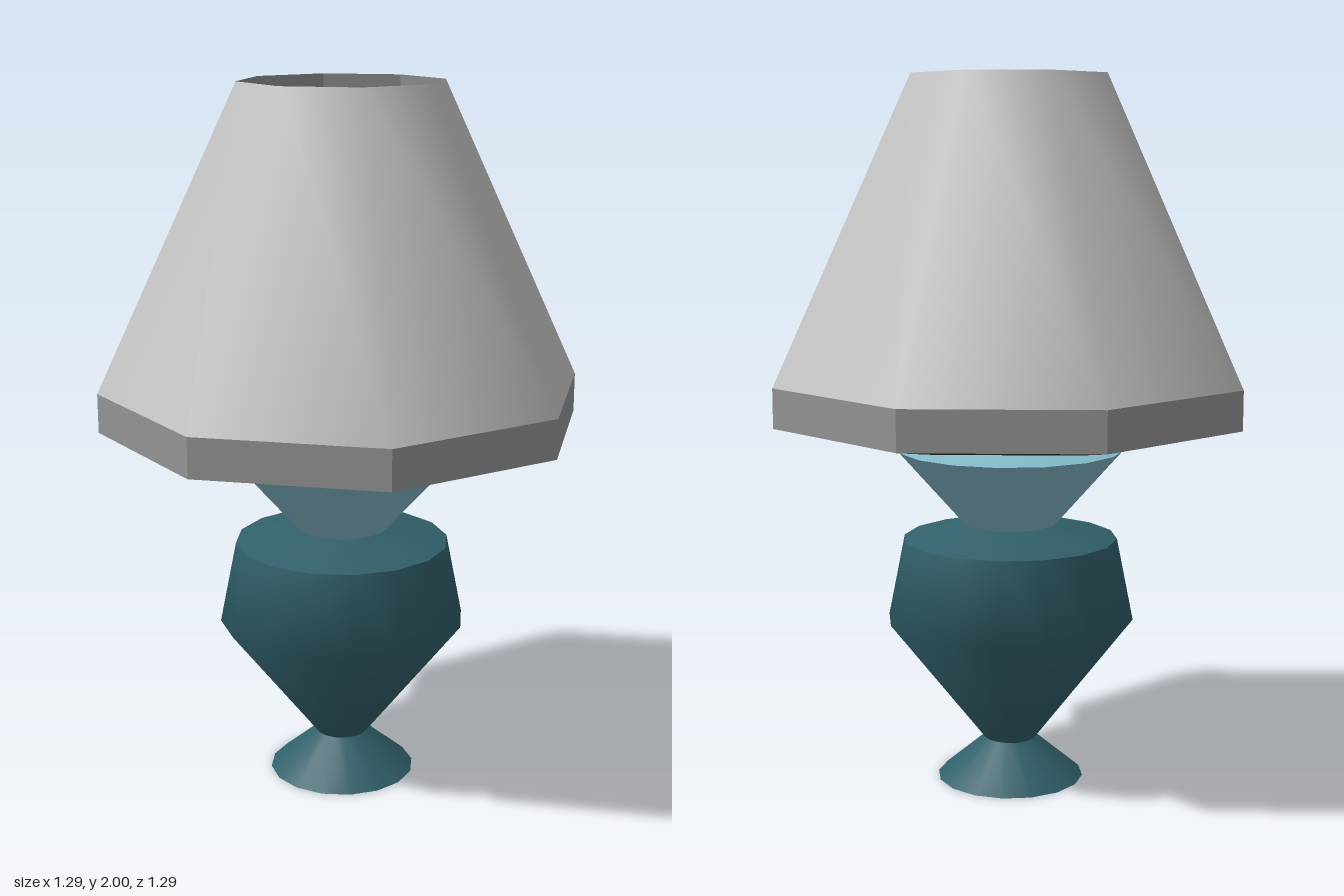
import * as THREE from 'three';

const paint = (name, color) => {
  const m = new THREE.MeshStandardMaterial({ color });
  m.name = name;
  return m;
};

export function createModel() {
  const model = new THREE.Group();
  model.name = 'tableLamp';

  const shadeGrey = paint('shadeGrey', 0xc2c2c2);
  const trimGrey = paint('trimGrey', 0x949494);
  const darkMetal = paint('darkMetal', 0x373434);
  const lightBlue = paint('lightBlue', 0x84bbca);
  const deepTeal = paint('deepTeal', 0x31606a);

  const TURN = THREE.MathUtils.degToRad(26.2); // twist of the octagonal shade

  // Turned part from [radius, height] points; faceted when flat is true
  const turned = (name, material, points, sides, start = 0, flat = false) => {
    const profile = points.map(([r, y]) => new THREE.Vector2(r, y));
    let geometry = new THREE.LatheGeometry(profile, sides, start, Math.PI * 2);
    if (flat) {
      geometry = geometry.toNonIndexed();
      geometry.computeVertexNormals();
    }
    const mesh = new THREE.Mesh(geometry, material);
    mesh.name = name;
    model.add(mesh);
    return mesh;
  };

  // Vase-shaped base
  turned('footUnderside', deepTeal, [[0, 0.04], [0.21, 0]], 16);
  turned('foot', deepTeal, [[0.21, 0], [0.075, 0.115]], 16);
  turned('vaseBody', deepTeal, [[0.075, 0.115], [0.352, 0.47], [0.305, 0.705]], 16);
  turned('vaseShoulder', deepTeal, [[0.305, 0.705], [0.13, 0.748]], 16);

  // Flared collar with a recessed socket
  turned('collarFlare', lightBlue, [[0.13, 0.745], [0.322, 0.963]], 16);
  turned('collarTop', lightBlue, [[0.322, 0.963], [0.12, 0.997]], 16);
  turned('socketWall', deepTeal, [[0.12, 0.997], [0.085, 0.9]], 16);
  turned('socketFloor', deepTeal, [[0.085, 0.9], [0, 0.9]], 16);

  // Square stem rising into the shade
  const stem = new THREE.Mesh(
    new THREE.CylinderGeometry(0.052, 0.052, 0.6, 4, 1, false, THREE.MathUtils.degToRad(66)),
    darkMetal
  );
  stem.name = 'stem';
  stem.position.set(-0.004, 1.2, -0.004);
  model.add(stem);

  // Octagonal shade: smooth outside, faceted rim band, lip and lining
  turned('shadeOuter', shadeGrey, [[0.681, 1.165], [0.286, 2]], 8, TURN);
  turned('shadeBand', trimGrey, [[0.681, 1.055], [0.681, 1.165]], 8, TURN, true);
  turned('shadeUnderside', darkMetal, [[0.486, 1.02], [0.681, 1.055]], 8, TURN, true);
  turned('shadeLining', trimGrey, [[0.286, 2], [0.486, 1.02]], 8, TURN, true);

  return model;
}
